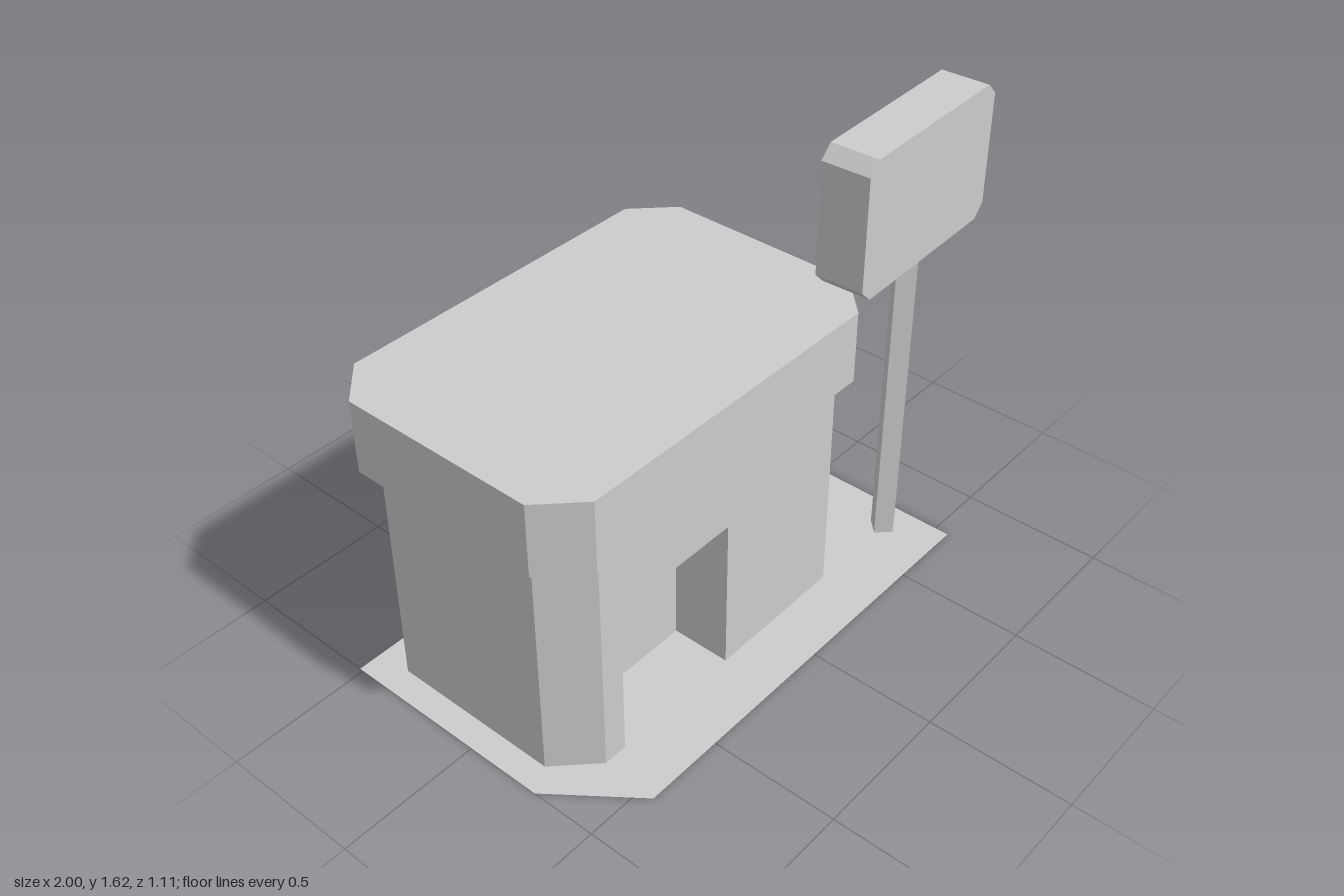
import * as THREE from 'three';

const gray = new THREE.MeshStandardMaterial({ color: 0xcccccc, side: THREE.DoubleSide, flatShading: true });
gray.name = 'plain gray';

function part(name, geometry) {
  const mesh = new THREE.Mesh(geometry, gray);
  mesh.name = name;
  return mesh;
}

const shapeOf = (points) => new THREE.Shape(points.map(([x, y]) => new THREE.Vector2(x, y)));

// Horizontal sheet with an outline of [x, z] points
function sheet(name, outline, y) {
  const g = new THREE.ShapeGeometry(shapeOf(outline.map(([x, z]) => [x, -z])));
  return part(name, g.rotateX(-Math.PI / 2).translate(0, y, 0));
}

// Upright thin wall following a path of [x, z] points
function strip(name, path, y0, y1) {
  const pos = [];
  for (let i = 0; i + 1 < path.length; i++) {
    const [ax, az] = path[i], [bx, bz] = path[i + 1];
    pos.push(ax, y0, az, bx, y0, bz, bx, y1, bz, ax, y0, az, bx, y1, bz, ax, y1, az);
  }
  const g = new THREE.BufferGeometry();
  g.setAttribute('position', new THREE.Float32BufferAttribute(pos, 3));
  g.computeVertexNormals();
  return part(name, g);
}

export function createModel() {
  const group = new THREE.Group();
  group.name = 'kioskWithSign';

  // Ground slab with two cut corners
  group.add(sheet('groundSlab', [
    [-1, -0.515], [0.46, -0.515], [0.775, -0.225], [0.775, 0.55], [-0.785, 0.55], [-1, 0.27],
  ], 0));

  // Side walls and front corners; the back is open
  const y0 = 0.015, y1 = 0.815, front = 0.36;
  group.add(strip('rightWall', [[-0.915, -0.38], [-0.915, 0.23], [-0.785, front]], y0, y1));
  group.add(strip('leftWall', [[0.30, front], [0.43, 0.23], [0.43, -0.38]], y0, y1));

  // Front wall with a doorway cut out
  const d0 = -0.70, d1 = -0.22, doorTop = 0.58;
  const wall = shapeOf([
    [-0.785, y0], [d0, y0], [d0, doorTop], [d1, doorTop], [d1, y0], [0.30, y0], [0.30, y1], [-0.785, y1],
  ]);
  group.add(part('frontWall', new THREE.ShapeGeometry(wall).translate(0, 0, front)));

  // Doorway recess, open at the top
  group.add(strip('doorRecess', [[d0, front], [d0, 0.15], [d1, 0.15], [d1, front]], y0, doorTop));

  // Roof sheet and the fascia around its front and sides
  const fascia = [[-0.96, -0.425], [-0.96, 0.27], [-0.83, 0.40], [0.34, 0.40], [0.47, 0.27], [0.47, -0.425]];
  group.add(sheet('roof', [...fascia, [0.34, -0.555], [-0.83, -0.555]], 1.09));
  group.add(strip('roofFascia', fascia, 0.835, 1.09));

  // Four-sided sign post
  const post = part('signPost', new THREE.CylinderGeometry(0.047, 0.047, 1.105, 4));
  post.position.set(0.647, 0.015 + 1.105 / 2, 0.358);
  group.add(post);

  // Sign board with cut corners, turned slightly
  const w = 0.347, h = 0.238, c = 0.043, depth = 0.17;
  const board = shapeOf([
    [-w + c, -h], [w - c, -h], [w, -h + c], [w, h - c], [w - c, h], [-w + c, h], [-w, h - c], [-w, -h + c],
  ]);
  const sign = part('signBoard', new THREE.ExtrudeGeometry(board, { depth, bevelEnabled: false })
    .translate(0, 0, -depth / 2));
  sign.position.set(0.65, 1.383, 0.334);
  sign.rotation.y = 0.036;
  group.add(sign);

  return group;
}
